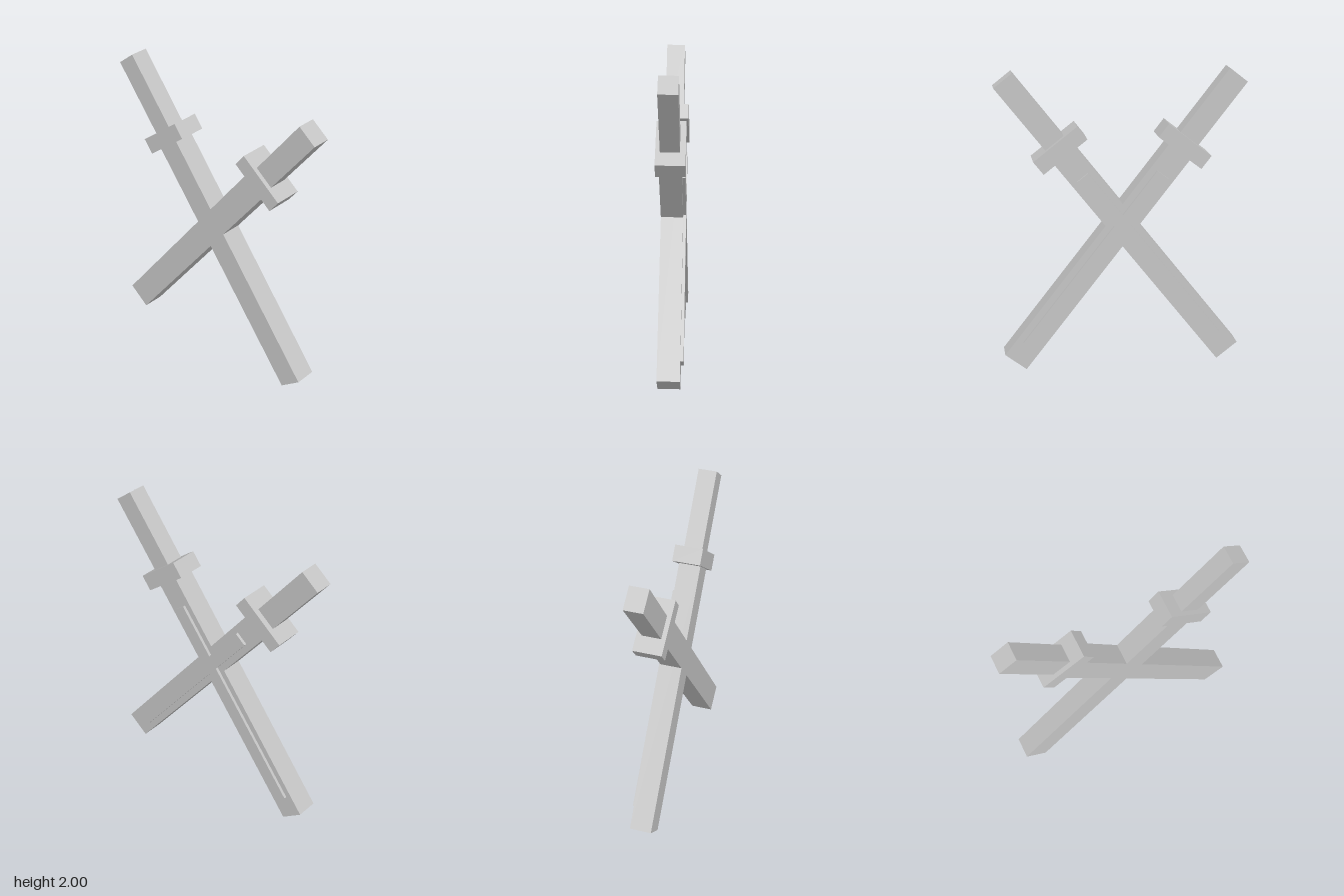
import * as THREE from 'three';

const TILT = THREE.MathUtils.degToRad(38);
const CROSSING_Y = 0.983;

export function createModel() {
  const grey = new THREE.MeshStandardMaterial({ color: 0xc4c4c4 });
  grey.name = 'light grey';

  // Box spanning lengths s0..s1 along the sword and depths z0..z1
  function bar(name, width, s0, s1, z0, z1) {
    const mesh = new THREE.Mesh(new THREE.BoxGeometry(width, s1 - s0, z1 - z0), grey);
    mesh.position.set(0, (s0 + s1) / 2, (z0 + z1) / 2);
    mesh.name = name;
    return mesh;
  }

  // One sword pointing down, with its origin where the two blades cross
  function sword(name, angle) {
    const group = new THREE.Group();
    group.name = name;
    group.add(
      bar('blade', 0.178, -1.17, 0.66, -0.068, 0.077),
      bar('bladeRidge', 0.09, -1.027, 0.426, -0.087, -0.06), // raised strip on the back
      bar('guard', 0.36, 0.606, 0.714, -0.094, 0.094),
      bar('handle', 0.15, 0.66, 1.235, -0.058, 0.065)
    );
    group.position.y = CROSSING_Y;
    group.rotation.z = angle;
    return group;
  }

  const model = new THREE.Group();
  model.name = 'crossedSwords';
  model.add(sword('leftSword', -TILT), sword('rightSword', TILT));
  return model;
}
